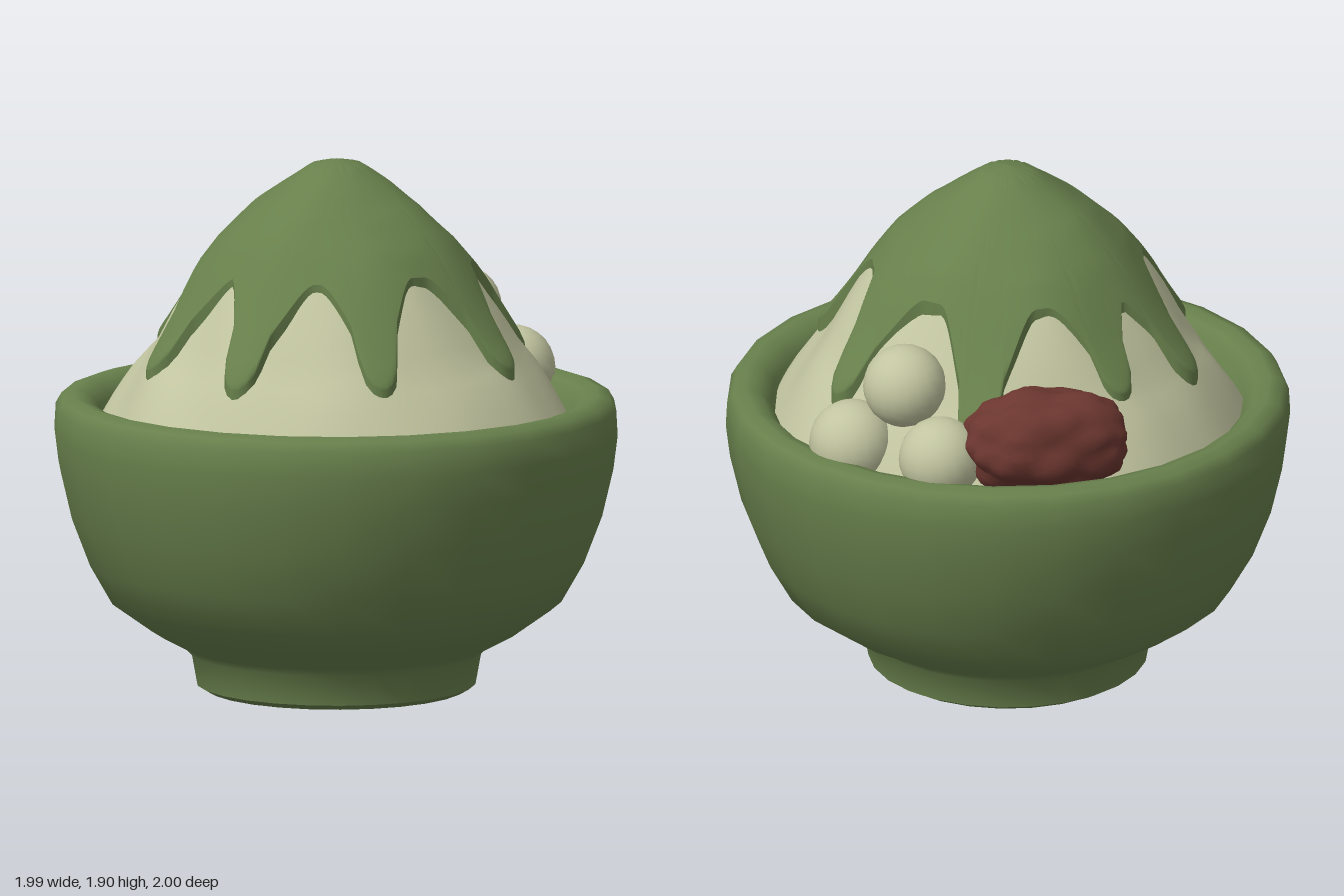
import * as THREE from 'three';
import { toCreasedNormals, mergeVertices } from 'three/addons/utils/BufferGeometryUtils.js';

// Outer surface of the mound: [radius, height]
const MOUND = [[0, 1.9], [0.09, 1.88], [0.2, 1.81], [0.3, 1.735], [0.42, 1.615], [0.5, 1.51],
  [0.58, 1.39], [0.65, 1.27], [0.72, 1.18], [0.8, 1.05], [0.88, 0.9]];

// Syrup drips: [angle, tip radius]
const DRIPS = [[-2.13, 0.71], [-1.57, 0.67], [-0.75, 0.77], [0.12, 0.72],
  [1.01, 0.71], [1.85, 0.71], [2.61, 0.73], [-3.01, 0.72]];

function moundHeight(r) {
  let i = 1;
  while (i < MOUND.length - 1 && r > MOUND[i][0]) i++;
  const [r0, y0] = MOUND[i - 1], [r1, y1] = MOUND[i];
  return y0 + (y1 - y0) * (r - r0) / (r1 - r0);
}

// Gentle lumps shared by ice and syrup
function lumps(a, r) {
  const x = r * Math.cos(a), z = r * Math.sin(a);
  return 0.012 * Math.sin(11 * x + 3 * z + 1) * Math.cos(12 * z - 4 * x) * Math.min(1, r * 4);
}

// Edge of the syrup: a rounded drip with a flared root at each listed angle
function syrupEdge(a) {
  let edge = 0.48;
  for (const [angle, tip] of DRIPS) {
    const d = Math.abs(Math.atan2(Math.sin(a - angle), Math.cos(a - angle)));
    let g = 0;
    if (d < 0.12) g = 0.5 + 0.5 * Math.sqrt(1 - (d / 0.12) ** 2);
    else if (d < 0.36) g = 0.5 * (1 - (d - 0.12) / 0.24) ** 1.6;
    edge = Math.max(edge, 0.48 + (tip - 0.48) * g);
  }
  return edge;
}

// Upward-facing polar surface; point(a, t) gives [radius, height], t from 0 (centre) to 1
function polarSurface(segs, rings, point) {
  const pos = [], index = [];
  for (let j = 0; j <= rings; j++) {
    for (let i = 0; i < segs; i++) {
      const a = i / segs * Math.PI * 2;
      const [r, y] = point(a, j / rings);
      pos.push(r * Math.cos(a), y, r * Math.sin(a));
      if (j === rings) continue;
      const k = (i + 1) % segs, p = j * segs, q = p + segs;
      if (j > 0) index.push(p + i, p + k, q + i);
      index.push(p + k, q + k, q + i);
    }
  }
  const geo = new THREE.BufferGeometry();
  geo.setAttribute('position', new THREE.Float32BufferAttribute(pos, 3));
  geo.setIndex(index);
  geo.computeVertexNormals();
  return geo;
}

export function createModel() {
  const group = new THREE.Group();
  const material = (name, color) => {
    const m = new THREE.MeshStandardMaterial({ color });
    m.name = name;
    return m;
  };
  const green = material('matcha green', 0x68804c);
  const cream = material('ice cream white', 0xc2c5a0);
  const red = material('bean red', 0x6b362f);
  const add = (name, geo, mat, parent = group) => {
    const mesh = new THREE.Mesh(geo, mat);
    mesh.name = name;
    parent.add(mesh);
    return mesh;
  };

  // Bowl with foot, rounded rim and inner wall
  const profile = [[0, 0], [0.46, 0], [0.495, 0.02], [0.515, 0.13], [0.54, 0.155], [0.66, 0.22],
    [0.8, 0.32], [0.88, 0.46], [0.945, 0.63], [0.985, 0.8], [1, 0.92], [0.995, 1.01], [0.975, 1.045],
    [0.93, 1.06], [0.88, 1.045], [0.84, 1.0], [0.8, 0.85], [0.6, 0.5], [0, 0.35]];
  const bowl = new THREE.LatheGeometry(profile.map(p => new THREE.Vector2(...p)), 26);
  add('bowl', toCreasedNormals(bowl, 0.75), green);

  // Shaved ice mound
  add('shavedIce', polarSurface(64, 24, (a, t) => {
    const r = t * (0.86 + 0.012 * Math.sin(5 * a + 1));
    const rough = 0.014 * Math.sin(9 * a + 14 * r) * Math.min(1, r * 2);
    return [r, moundHeight(r) - 0.04 + lumps(a, r) + rough];
  }), cream);

  // Syrup cap with drips, its edge turned down into the ice
  add('syrup', polarSurface(192, 26, (a, t) => {
    const edge = syrupEdge(a);
    const s = Math.min(1, t * 26 / 25);
    const r = edge * Math.sin(s * Math.PI / 2);
    const bead = 0.03 * THREE.MathUtils.smoothstep(r, 0.56, 0.68);
    const y = moundHeight(r) + lumps(a, r) + bead * (1 - s ** 6);
    return [r, t === 1 ? y - 0.1 : y];
  }), green);

  // Rice dumplings: x, y, z, radius
  const dumplings = new THREE.Group();
  dumplings.name = 'dumplings';
  group.add(dumplings);
  for (const [x, y, z, r] of [[0.62, 1.285, -0.2, 0.148], [0.77, 1.07, -0.09, 0.153], [0.64, 1.09, -0.43, 0.148]])
    add('dumpling', new THREE.SphereGeometry(r, 20, 14), cream, dumplings).position.set(x, y, z);

  // Heap of sweet red beans: an ellipsoid pushed out into many small lumps
  let seed = 7;
  const rand = () => (seed = (seed * 16807) % 2147483647) / 2147483647;
  const centres = Array.from({ length: 70 }, () =>
    new THREE.Vector3(rand() - 0.5, rand() - 0.5, rand() - 0.5).normalize());
  let beans = new THREE.IcosahedronGeometry(1, 9);
  beans.deleteAttribute('normal');
  beans.deleteAttribute('uv');
  beans = mergeVertices(beans, 1e-4);
  const p = beans.attributes.position, v = new THREE.Vector3();
  for (let i = 0; i < p.count; i++) {
    v.fromBufferAttribute(p, i).normalize();
    const near = Math.min(...centres.map(c => c.distanceTo(v)));
    v.multiplyScalar(1.06 - 0.5 * Math.min(near, 0.45) ** 1.3);
    p.setXYZ(i, v.x, v.y, v.z);
  }
  beans.scale(0.3, 0.2, 0.18);
  const heap = add('redBeans', toCreasedNormals(beans, 0.6), red);
  heap.position.set(0.34, 1.15, -0.65);
  heap.rotation.y = -0.5;

  return group;
}
